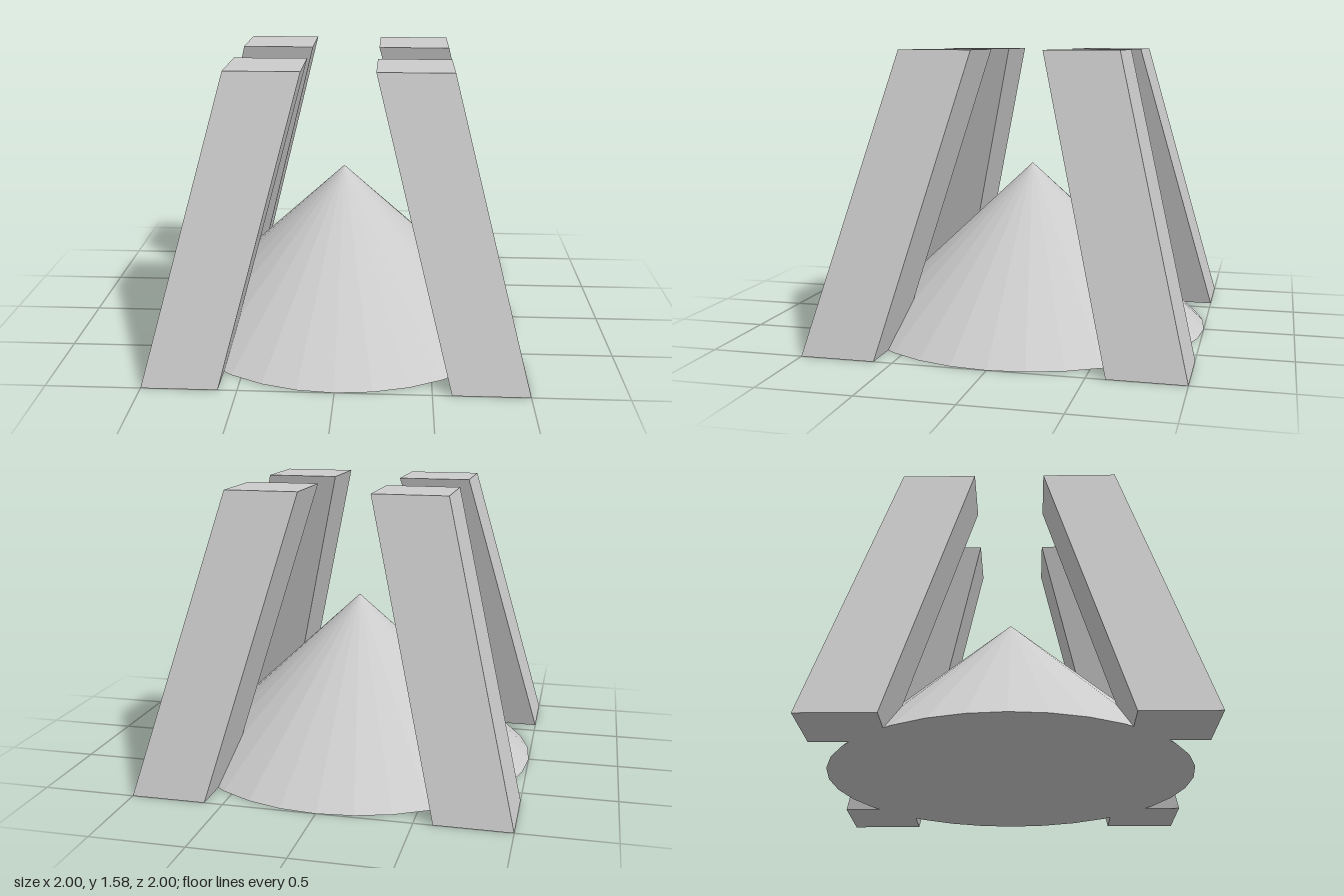
import * as THREE from 'three';

const material = new THREE.MeshStandardMaterial({ color: 0xcccccc, flatShading: true });

// Square leg that leans toward the centre axis while its ends stay level
function makeLeg(sx, sz) {
  const width = 0.4, height = 1.58, lean = 0.408;
  const geometry = new THREE.BoxGeometry(width, height, width);
  geometry.translate(0, height / 2, 0);
  const pos = geometry.attributes.position;
  for (let i = 0; i < pos.count; i++) {
    const shift = 0.8 - lean * (pos.getY(i) / height);
    pos.setX(i, pos.getX(i) + sx * shift);
    pos.setZ(i, pos.getZ(i) + sz * shift);
  }
  geometry.computeVertexNormals();
  return new THREE.Mesh(geometry, material);
}

export function createModel() {
  const model = new THREE.Group();
  model.name = 'leaningLegsAroundCone';

  // Central faceted cone
  const coneHeight = 0.93;
  const cone = new THREE.Mesh(new THREE.ConeGeometry(1, coneHeight, 32), material);
  cone.position.y = coneHeight / 2;
  cone.name = 'centralCone';
  model.add(cone);

  // Four leaning legs, one per corner
  for (const sx of [-1, 1]) {
    for (const sz of [-1, 1]) {
      const leg = makeLeg(sx, sz);
      leg.name = (sz > 0 ? 'front' : 'back') + (sx > 0 ? 'Left' : 'Right') + 'Leg';
      model.add(leg);
    }
  }
  return model;
}
